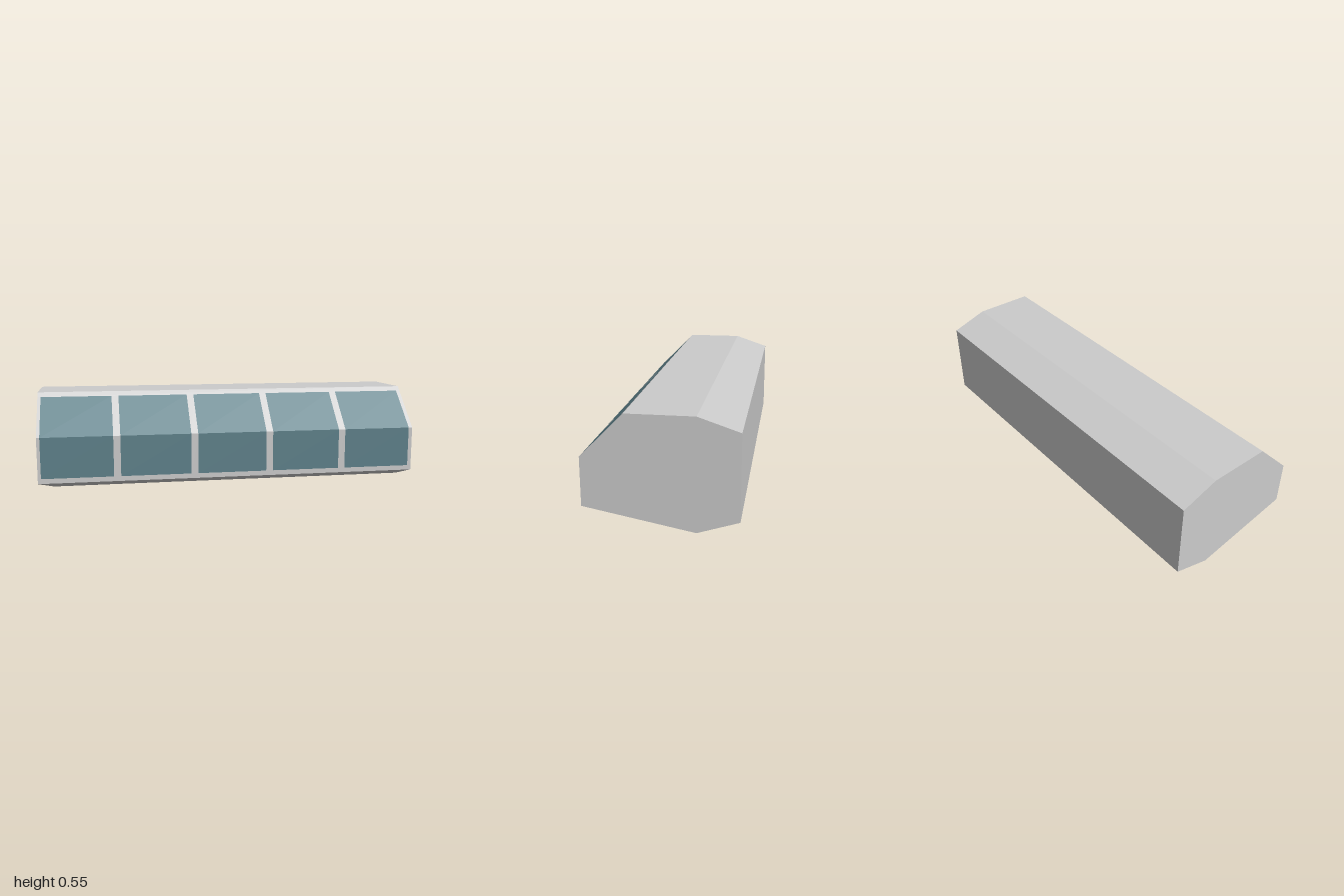
import * as THREE from 'three';

// Cross-section as [z, y], from the lower front edge up over the roof to the underside
const PROFILE = [
  [0.36, 0.11], [0.36, 0.345], [0.155, 0.553], [-0.165, 0.553],
  [-0.36, 0.488], [-0.36, 0.077], [-0.165, 0.013],
];
const PANES = 5;
const PANE_HALF = 0.182;

const at = (x, [z, y]) => [x, y, z];
const mix = (p, q, t) => [p[0] + (q[0] - p[0]) * t, p[1] + (q[1] - p[1]) * t];

// Adds a flat convex face, corners counter-clockwise from outside
function face(list, ...c) {
  for (let i = 1; i < c.length - 1; i++) list.push(...c[0], ...c[i], ...c[i + 1]);
}

// Adds a flat strip from profile point p to q between two x positions
function strip(list, p, q, x0 = -1, x1 = 1) {
  face(list, at(x0, p), at(x1, p), at(x1, q), at(x0, q));
}

function makeMesh(name, list, color) {
  const geometry = new THREE.BufferGeometry();
  geometry.setAttribute('position', new THREE.Float32BufferAttribute(list, 3));
  geometry.computeVertexNormals();
  const mesh = new THREE.Mesh(geometry, new THREE.MeshStandardMaterial({ color, flatShading: true }));
  mesh.name = name;
  return mesh;
}

export function createModel() {
  const shell = [], frame = [], glass = [], belly = [];
  const [sill, knee, brow] = PROFILE;

  // Roof, back and lower back slope
  for (let i = 2; i < PROFILE.length - 1; i++) strip(shell, PROFILE[i], PROFILE[i + 1]);

  // End walls
  face(shell, ...PROFILE.map((p) => at(-1, p)));
  face(shell, ...PROFILE.map((p) => at(1, p)).reverse());

  // Window front: rails at the sill and brow
  const paneBottom = mix(sill, knee, 0.106);
  const paneTop = mix(knee, brow, 0.89);
  strip(frame, sill, paneBottom);
  strip(frame, paneTop, brow);

  // Panes bend over the knee, with flush mullions between them
  for (const [p, q] of [[paneBottom, knee], [knee, paneTop]]) {
    let x = -1;
    for (let i = 0; i < PANES; i++) {
      const centre = -0.802 + 0.4 * i;
      strip(frame, p, q, x, centre - PANE_HALF);
      strip(glass, p, q, centre - PANE_HALF, centre + PANE_HALF);
      x = centre + PANE_HALF;
    }
    strip(frame, p, q, x, 1);
  }

  // Underside: a lowered panel with bevelled borders
  const back = PROFILE[6];
  const outer = [at(-1, back), at(1, back), at(1, sill), at(-1, sill)];
  const innerBack = [-0.142, 0], innerFront = [0.34, 0.09];
  const inner = [at(-0.92, innerBack), at(0.92, innerBack), at(0.92, innerFront), at(-0.92, innerFront)];
  face(belly, ...inner);
  for (let i = 0; i < 4; i++) {
    const j = (i + 1) % 4;
    face(belly, outer[i], outer[j], inner[j], inner[i]);
  }

  const model = new THREE.Group();
  model.name = 'windowedCabin';
  model.add(
    makeMesh('shell', shell, 0xcccccc),
    makeMesh('windowFrame', frame, 0xcccccc),
    makeMesh('windowPanes', glass, 0x5d8089),
    makeMesh('undersidePanel', belly, 0xcccccc),
  );
  return model;
}
